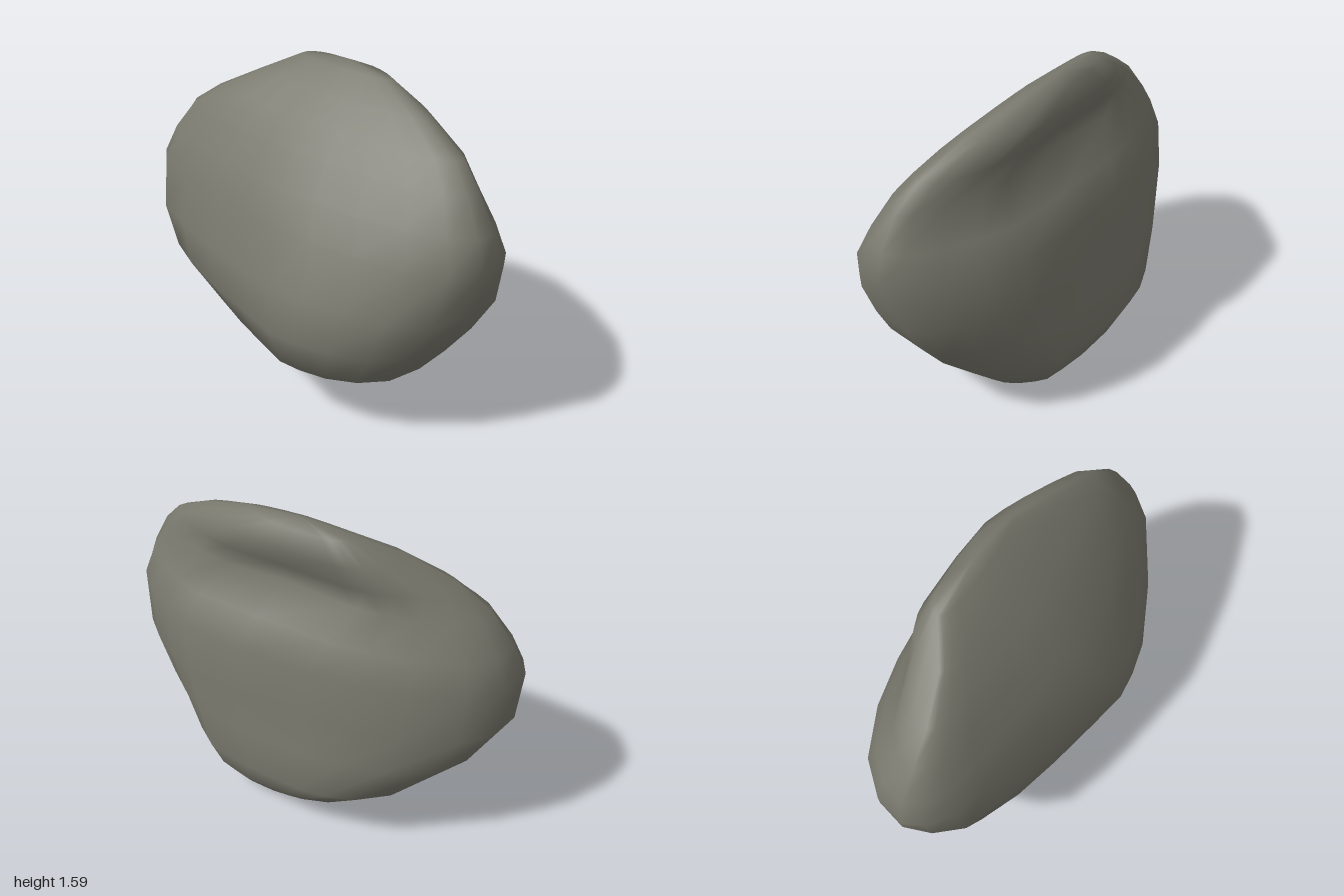
import * as THREE from 'three';

// Horizontal slices of the stone: height, then [x, z] of its left-hand (-x),
// right-hand (+x), front and back extremes.
const slices = [
  [0.02, [0.03, -0.22], [0.23, -0.21], [0.14, -0.09], [0.12, -0.33]],
  [0.08, [-0.27, -0.20], [0.46, -0.16], [0.14, 0.09], [0.07, -0.40]],
  [0.20, [-0.46, -0.12], [0.58, -0.10], [0.14, 0.305], [-0.04, -0.49]],
  [0.34, [-0.66, -0.08], [0.71, -0.06], [0.16, 0.49], [-0.16, -0.545]],
  [0.53, [-0.88, -0.03], [0.84, -0.06], [0.14, 0.545], [-0.16, -0.505]],
  [0.72, [-0.99, -0.02], [0.94, -0.07], [0.12, 0.495], [-0.15, -0.465]],
  [0.96, [-1.00, 0.01], [1.00, 0.01], [0.05, 0.375], [-0.15, -0.43]],
  [1.10, [-0.94, -0.01], [0.95, 0.02], [0.00, 0.285], [-0.20, -0.36]],
  [1.25, [-0.82, -0.01], [0.86, 0.01], [0.00, 0.18], [-0.30, -0.265]],
  [1.36, [-0.66, -0.03], [0.75, -0.03], [0.00, 0.08], [-0.25, -0.285]],
  [1.47, [-0.45, -0.09], [0.53, -0.09], [0.00, -0.03], [-0.22, -0.31]],
  [1.56, [-0.27, -0.20], [0.27, -0.17], [0.00, -0.14], [-0.14, -0.27]],
];

// Plan outline shared by every slice, running right, front, left, back;
// 1 reaches the extreme on that side.
const plan = [
  [1, 0], [0.97, 0.34], [0.87, 0.63], [0.68, 0.82], [0.44, 0.94], [0.2, 0.99],
  [0, 1], [-0.2, 0.91], [-0.45, 0.79], [-0.68, 0.66], [-0.87, 0.5], [-0.96, 0.26],
  [-1, 0], [-0.95, -0.34], [-0.8, -0.65], [-0.53, -0.87], [-0.25, -0.97],
  [0, -1], [0.33, -0.97], [0.6, -0.87], [0.73, -0.7], [0.86, -0.48], [0.96, -0.23],
];

// Each quarter of the outline is scaled from its own centre.
function slicePoint([y, left, right, front, back], [u, v]) {
  const side = u >= 0 ? right : left;
  const face = v >= 0 ? front : back;
  const x = face[0] + (side[0] - face[0]) * Math.abs(u);
  const z = side[1] + (face[1] - side[1]) * Math.abs(v);
  // Shallow hollow under the crest at the back
  const hollow = v < -0.5 ? 0.05 * Math.exp(-(((x - 0.15) / 0.25) ** 2) - ((y - 1.25) / 0.12) ** 2) : 0;
  return [x, y, z + hollow];
}

function stoneGeometry() {
  const positions = [], indices = [], count = plan.length;
  for (const slice of slices)
    for (const point of plan) positions.push(...slicePoint(slice, point));

  // End points closing the base and the leaning crest
  const base = slices.length * count, crest = base + 1;
  positions.push(0.14, 0, -0.17, 0, 1.59, -0.2);

  const last = slices.length - 1;
  for (let j = 0; j < count; j++) {
    const k = (j + 1) % count;
    indices.push(base, j, k);
    for (let i = 0; i < last; i++) {
      const a = i * count + j, b = i * count + k;
      indices.push(a, a + count, b, b, a + count, b + count);
    }
    indices.push(last * count + j, crest, last * count + k);
  }

  const geometry = new THREE.BufferGeometry();
  geometry.setAttribute('position', new THREE.Float32BufferAttribute(positions, 3));
  geometry.setIndex(indices);
  geometry.computeVertexNormals();
  return geometry;
}

export function createModel() {
  const stone = new THREE.MeshStandardMaterial({ color: 0x78776c });
  stone.name = 'stoneGrey';

  const boulder = new THREE.Mesh(stoneGeometry(), stone);
  boulder.name = 'boulder';

  const model = new THREE.Group();
  model.name = 'rock';
  model.add(boulder);
  return model;
}
